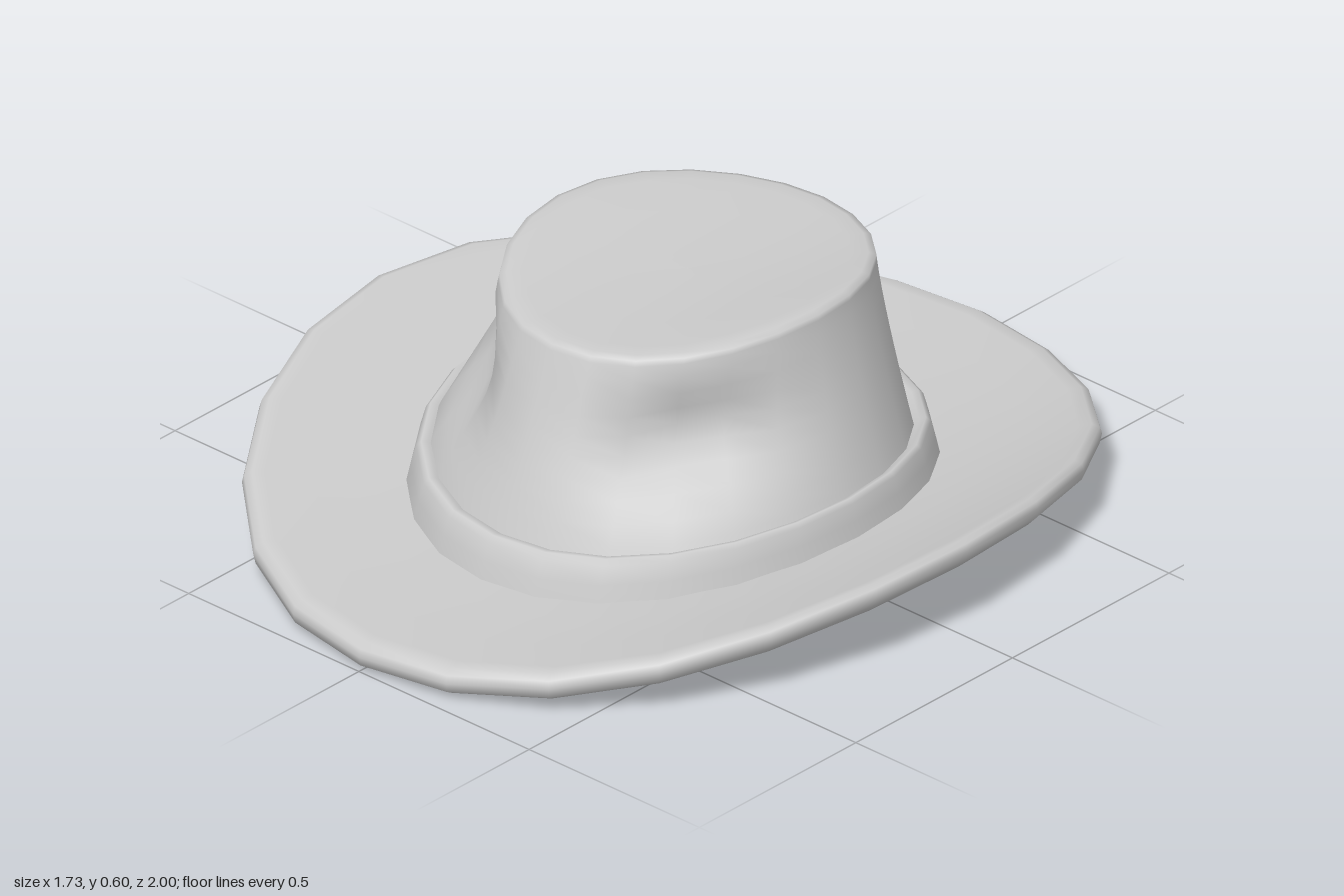
import * as THREE from 'three';

const SIDES = 24;
const material = new THREE.MeshStandardMaterial({ color: 0xcccccc });

// Height gained at the left and right of a ring, so the whole hat curls up sideways
const curl = (rx) => 0.178 * Math.pow(rx / 0.865, 2.5);

// Skins oval rings ordered from the top centre outwards and down.
// ring: { rx, front, back, y, lift, dent }
function loft(name, rings) {
  const pos = [], index = [];
  rings.forEach((r, i) => {
    const rz = (r.front - r.back) / 2, cz = (r.front + r.back) / 2;
    for (let j = 0; j < SIDES; j++) {
      const a = (j / SIDES) * Math.PI * 2;
      const c = Math.cos(a), s = Math.sin(a);
      // Two pinches at the front corners
      const off = (Math.atan2(s, Math.abs(c)) - 0.7) / 0.36;
      const k = 1 - (r.dent || 0) * Math.exp(-off * off);
      pos.push(r.rx * c * k, r.y + r.lift * Math.pow(Math.abs(c), 2.5), cz + rz * s * k);
      if (i < rings.length - 1) {
        const p = i * SIDES + j, q = i * SIDES + (j + 1) % SIDES;
        index.push(p, q, p + SIDES, q, q + SIDES, p + SIDES);
      }
    }
  });
  const geo = new THREE.BufferGeometry();
  geo.setAttribute('position', new THREE.Float32BufferAttribute(pos, 3));
  geo.setIndex(index);
  geo.computeVertexNormals();
  const mesh = new THREE.Mesh(geo, material);
  mesh.name = name;
  return mesh;
}

// Brim: upper face, rounded edge, underside and the shallow hollow for the head
function makeBrim() {
  const profile = [
    [0.48, 0.55, 0.07], [0.6, 0.69, 0.07], [0.72, 0.83, 0.07], [0.82, 0.945, 0.072],
    [0.846, 0.977, 0.07], [0.862, 0.995, 0.058], [0.867, 1, 0.04], [0.862, 0.995, 0.018],
    [0.842, 0.972, 0.005], [0.72, 0.83, 0.01], [0.6, 0.69, 0.017], [0.53, 0.6, 0.024],
    [0.47, 0.53, 0.038], [0.42, 0.47, 0.07], [0.36, 0.4, 0.12], [0.3, 0.33, 0.155],
    [0.16, 0.18, 0.172], [0.002, 0.002, 0.175],
  ];
  return loft('brim', profile.map(([rx, rz, y]) =>
    ({ rx, front: rz, back: -rz, y, lift: curl(rx) })));
}

// Band around the foot of the crown
function makeBand() {
  const profile = [
    [0.49, 0.535, -0.545, 0.15], [0.505, 0.555, -0.565, 0.162], [0.518, 0.572, -0.582, 0.164],
    [0.527, 0.585, -0.595, 0.152], [0.536, 0.6, -0.608, 0.11], [0.546, 0.615, -0.622, 0.055],
  ];
  return loft('band', profile.map(([rx, front, back, y]) =>
    ({ rx, front, back, y, lift: curl(rx) })));
}

// Crown: saddle-shaped top, soft rim, flaring wall with pinches
function makeCrown() {
  const rings = [];
  for (const s of [0.005, 0.3, 0.6, 0.88, 0.97]) {
    rings.push({
      rx: 0.38 * s, front: -0.05 + 0.43 * s, back: -0.05 - 0.43 * s,
      y: 0.567, lift: 0.038 * Math.min(1, s / 0.88) ** 2.5,
    });
  }
  for (const t of [0, 0.03, 0.1, 0.2, 0.3, 0.4, 0.5, 0.6, 0.7, 0.8, 0.9, 1]) {
    rings.push({
      rx: 0.384 + 0.131 * t ** 1.3, front: 0.383 + 0.172 * t, back: -0.485 - 0.062 * t,
      y: 0.561 - 0.431 * t, lift: 0.038 + 0.01 * t,
      dent: 0.18 * Math.sin(Math.PI * t ** 0.9) ** 3,
    });
  }
  return loft('crown', rings);
}

export function createModel() {
  const hat = new THREE.Group();
  hat.name = 'hat';
  hat.add(makeBrim(), makeBand(), makeCrown());
  return hat;
}
